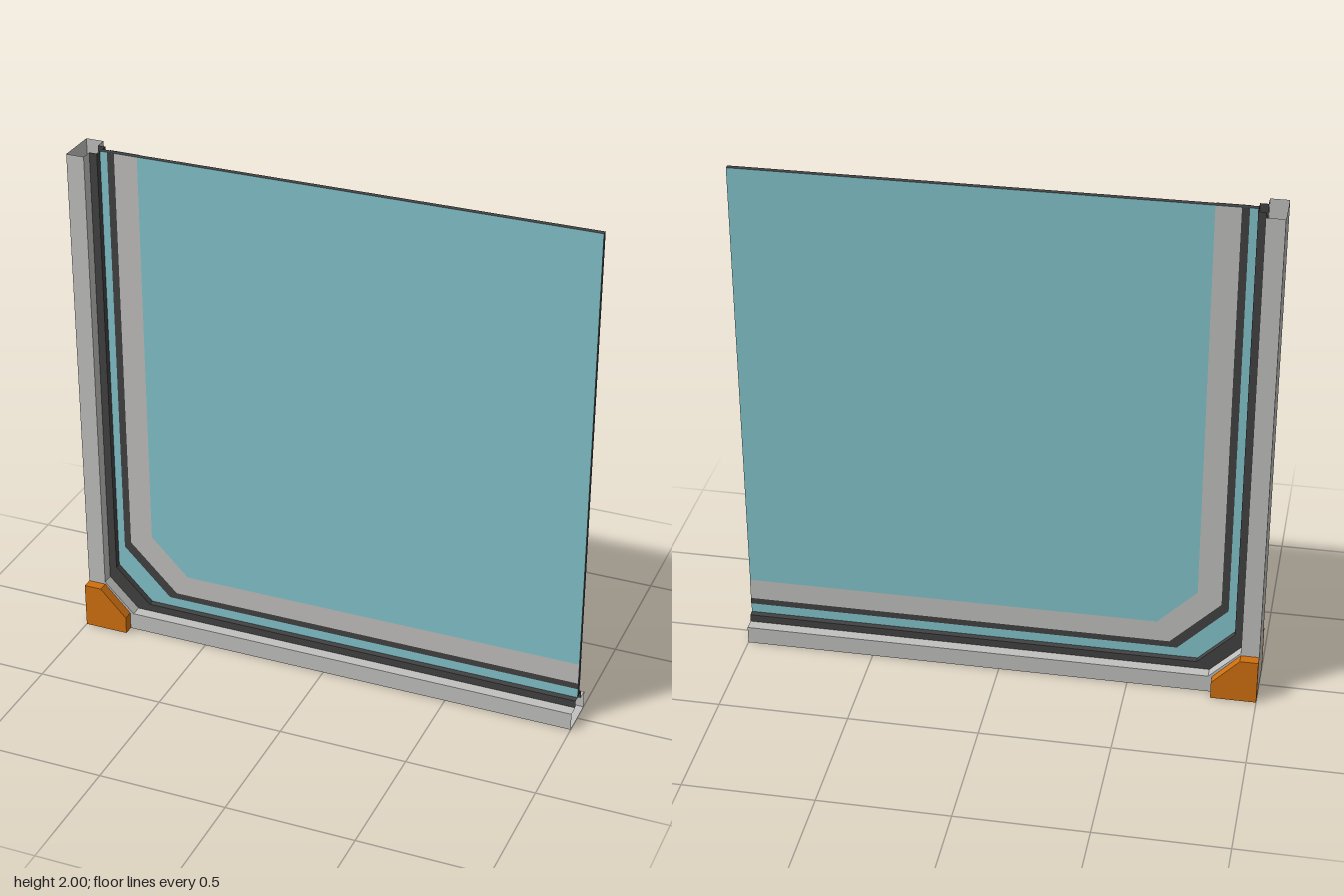
import * as THREE from 'three';

const mat = (name, color) => new THREE.MeshStandardMaterial({ name, color, side: THREE.DoubleSide });

// L-shaped path from the top of the jamb, round a chamfered corner, to the end of the sill
const path = (edge, cornerX, cornerY) => [[edge - 1, 2], [edge - 1, cornerY], [cornerX, edge], [1, edge]];

export function createModel() {
  const model = new THREE.Group();
  const aluminium = mat('aluminium', 0xc0c0be);
  const rubber = mat('black rubber', 0x424242);
  const glass = mat('blue glass', 0x83c4cb);
  const spacer = mat('spacer grey', 0xc0bfbd);
  const orange = mat('orange', 0xd07010);

  const add = (parent, name, geometry, material, z = 0) => {
    const mesh = new THREE.Mesh(geometry, material);
    mesh.name = name;
    mesh.position.z = z;
    parent.add(mesh);
    return mesh;
  };
  const group = (name) => {
    const g = new THREE.Group();
    g.name = name;
    model.add(g);
    return g;
  };
  const toShape = (points) => new THREE.Shape(points.map(([x, y]) => new THREE.Vector2(x, y)));

  // Flat strip between two paths, facing +z or -z
  const strip = (a, b, side) => {
    const geometry = new THREE.ShapeGeometry(toShape([...a, ...[...b].reverse()]));
    if (side < 0) geometry.rotateY(Math.PI).scale(-1, 1, 1);
    return geometry;
  };

  // Sheet swept along a path between two depths
  const wall = (points, z0, z1) => {
    const v = [];
    for (let i = 0; i < points.length - 1; i++) {
      const [ax, ay] = points[i], [bx, by] = points[i + 1];
      v.push(ax, ay, z0, bx, by, z0, bx, by, z1, ax, ay, z0, bx, by, z1, ax, ay, z1);
    }
    const geometry = new THREE.BufferGeometry();
    geometry.setAttribute('position', new THREE.Float32BufferAttribute(v, 3));
    geometry.computeVertexNormals();
    return geometry;
  };

  const outer = [[-1, 2], [-1, 0], [1, 0]];
  const frameLip = path(0.07, -0.81, 0.19);
  const gasketLip = path(0.1, -0.76, 0.24);
  const sealOuter = path(0.14, -0.68, 0.33);
  sealOuter[0][0] = sealOuter[1][0] = -0.87;
  const sealInner = path(0.165, -0.65, 0.355);
  sealInner[0][0] = sealInner[1][0] = -0.842;
  const spacerInner = path(0.25, -0.6, 0.4);

  // Hollow frame channel, open at both ends and along its slot
  const frame = group('frameChannel');
  add(frame, 'frameOuterWall', wall(outer, -0.08, 0.08), aluminium);

  // Gasket floor closing the slot beneath the pane
  const gasket = group('gasket');
  add(gasket, 'gasketFloor', wall(gasketLip, -0.035, 0.035), rubber);

  // Pane with dark cut edges
  const pane = group('glassPane');
  const paneOutline = [...gasketLip, [1, 2]];
  add(pane, 'paneEdge', wall([[-0.9, 2], [1, 2], [1, 0.1]], -0.01, 0.01), rubber);

  const bracketShape = toShape([[-1, 0], [-0.825, 0], [-0.825, 0.07], [-0.93, 0.18], [-1, 0.18]]);
  const bracketGeometry = new THREE.ExtrudeGeometry(bracketShape, { depth: 0.04, bevelEnabled: false });

  for (const side of [1, -1]) {
    const label = side > 0 ? 'Front' : 'Back';
    add(frame, 'frameFace' + label, strip(outer, frameLip, 1), aluminium, side * 0.08);
    add(frame, 'frameReturn' + label, wall(frameLip, side * 0.035, side * 0.08), aluminium);
    add(gasket, 'gasketFace' + label, strip(frameLip, gasketLip, 1), rubber, side * 0.035);
    add(pane, 'paneFace' + label, new THREE.ShapeGeometry(toShape(paneOutline)), glass, side * 0.01);
    // Painted edge seal and spacer bands
    add(pane, 'edgeSeal' + label, strip(sealOuter, sealInner, 1), rubber, side * 0.013);
    add(pane, 'spacerBand' + label, strip(sealInner, spacerInner, 1), spacer, side * 0.013);
    // Corner bracket plates
    add(model, 'cornerBracket' + label, bracketGeometry, orange, side > 0 ? 0.08 : -0.12);
  }
  return model;
}
